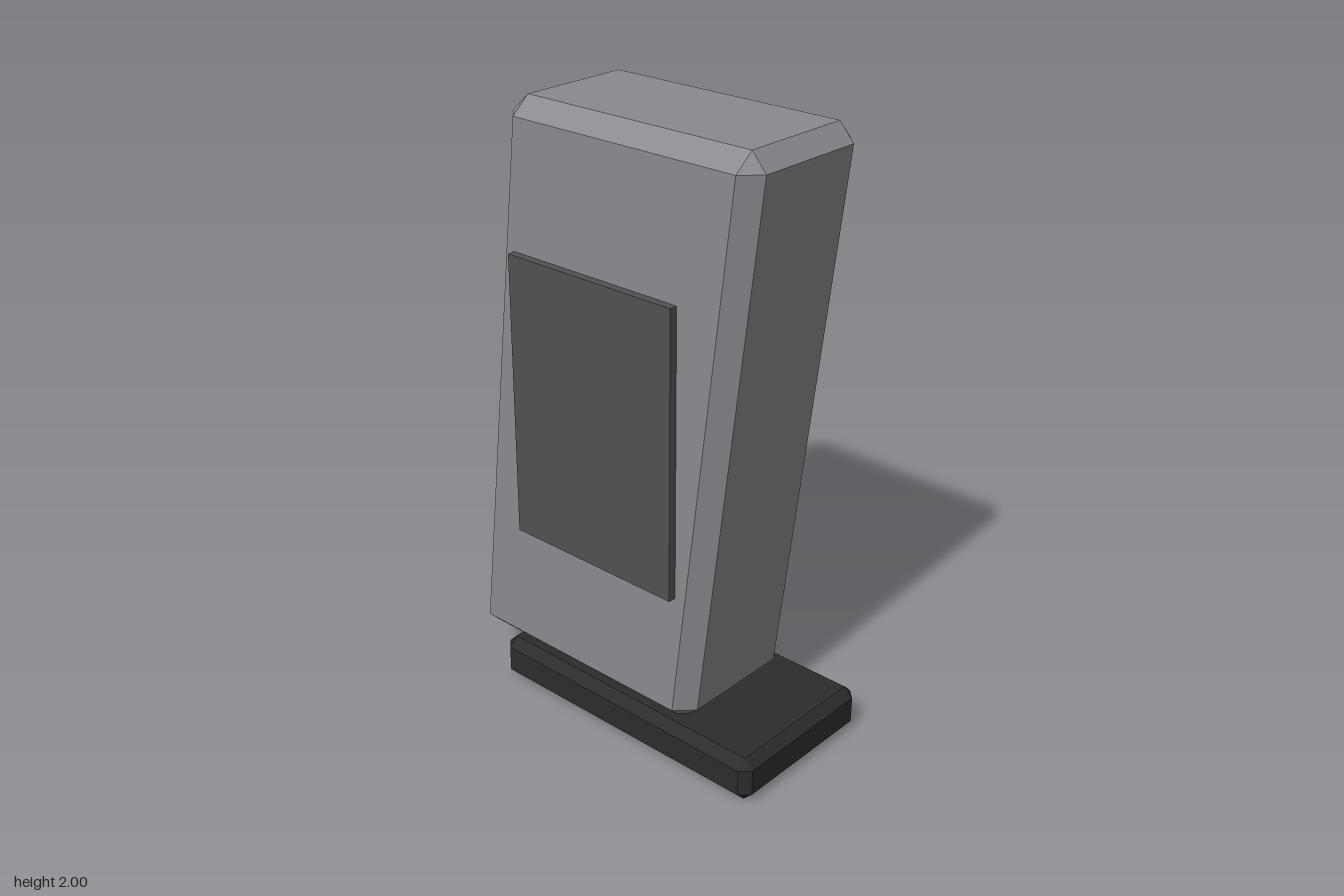
import * as THREE from 'three';
import { ConvexGeometry } from 'three/addons/geometries/ConvexGeometry.js';

// Box with every edge bevelled: 24 corner points, centred on the origin
function bevelledBox(w, h, d, bevel) {
  const points = [];
  for (const sx of [-1, 1]) for (const sy of [-1, 1]) for (const sz of [-1, 1]) {
    for (let axis = 0; axis < 3; axis++) {
      const inset = [bevel, bevel, bevel];
      inset[axis] = 0;
      points.push(new THREE.Vector3(
        sx * (w / 2 - inset[0]), sy * (h / 2 - inset[1]), sz * (d / 2 - inset[2])));
    }
  }
  return new ConvexGeometry(points);
}

export function createModel() {
  const group = new THREE.Group();
  const material = (color) => new THREE.MeshStandardMaterial({ color, flatShading: true });
  const bodyMat = material(0x8a8b90);
  const panelMat = material(0x505154);
  const baseMat = material(0x2c2c2e);

  const add = (name, geometry, mat, x, y, z) => {
    const mesh = new THREE.Mesh(geometry, mat);
    mesh.name = name;
    mesh.position.set(x, y, z);
    group.add(mesh);
  };

  // Foot plate
  add('base', bevelledBox(0.564, 0.15, 1.054, 0.031), baseMat, 0, 0.075, 0.083);

  // Main slab, sheared so that the top leans forward
  const lean = 0.1194;
  const slab = bevelledBox(0.49, 1.88, 0.942, 0.056);
  slab.applyMatrix4(new THREE.Matrix4().set(
    1, 0, 0, 0,
    0, 1, 0, 0,
    0, lean, 1, 0,
    0, 0, 0, 1));
  slab.computeVertexNormals();
  add('body', slab, bodyMat, 0, 1.06, -0.029);

  // Upright side panels, let into the slab
  for (const [name, side] of [['leftPanel', 1], ['rightPanel', -1]]) {
    add(name, new THREE.BoxGeometry(0.052, 0.94, 0.645), panelMat, side * 0.246, 1.06, -0.031);
  }

  return group;
}
